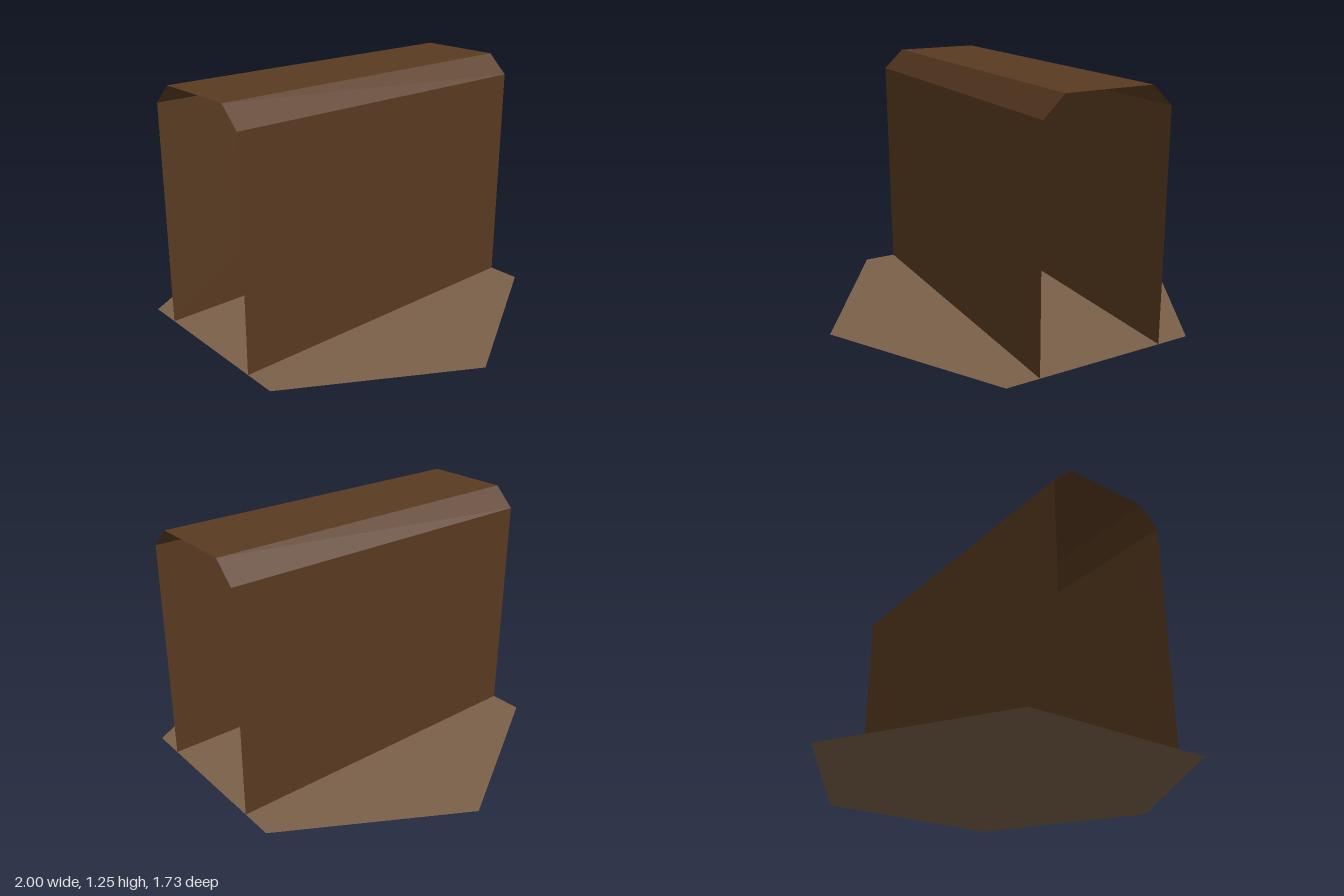
import * as THREE from 'three';

const HALF_DEPTH = 0.866;

export function createModel() {
  const group = new THREE.Group();
  const darkWood = new THREE.MeshStandardMaterial({ color: 0x5a3b21, side: THREE.DoubleSide, flatShading: true });
  darkWood.name = 'dark brown';
  const ground = new THREE.MeshStandardMaterial({ color: 0x7b6049, side: THREE.DoubleSide, flatShading: true });
  ground.name = 'light brown';

  // Flat hexagonal base with points on the x axis
  const base = new THREE.Mesh(new THREE.CircleGeometry(1, 6).rotateX(-Math.PI / 2), ground);
  base.name = 'hexBase';
  group.add(base);

  // Thin open-ended shell: two walls, two chamfers and a flat top
  const profile = [[0.33, 0], [0.33, 1.15], [0.225, 1.25], [-0.225, 1.25], [-0.33, 1.15], [-0.33, 0]];
  const names = ['leftWall', 'leftChamfer', 'topPanel', 'rightChamfer', 'rightWall'];
  const shell = new THREE.Group();
  shell.name = 'shell';
  names.forEach((name, i) => {
    const [x0, y0] = profile[i];
    const [x1, y1] = profile[i + 1];
    // Panel turned so that its normal points outward from the shell
    const panel = new THREE.PlaneGeometry(Math.hypot(x1 - x0, y1 - y0), 2 * HALF_DEPTH);
    panel.rotateX(-Math.PI / 2);
    panel.rotateZ(Math.atan2(y0 - y1, x0 - x1));
    panel.translate((x0 + x1) / 2, (y0 + y1) / 2, 0);
    const mesh = new THREE.Mesh(panel, darkWood);
    mesh.name = name;
    shell.add(mesh);
  });
  group.add(shell);

  return group;
}
